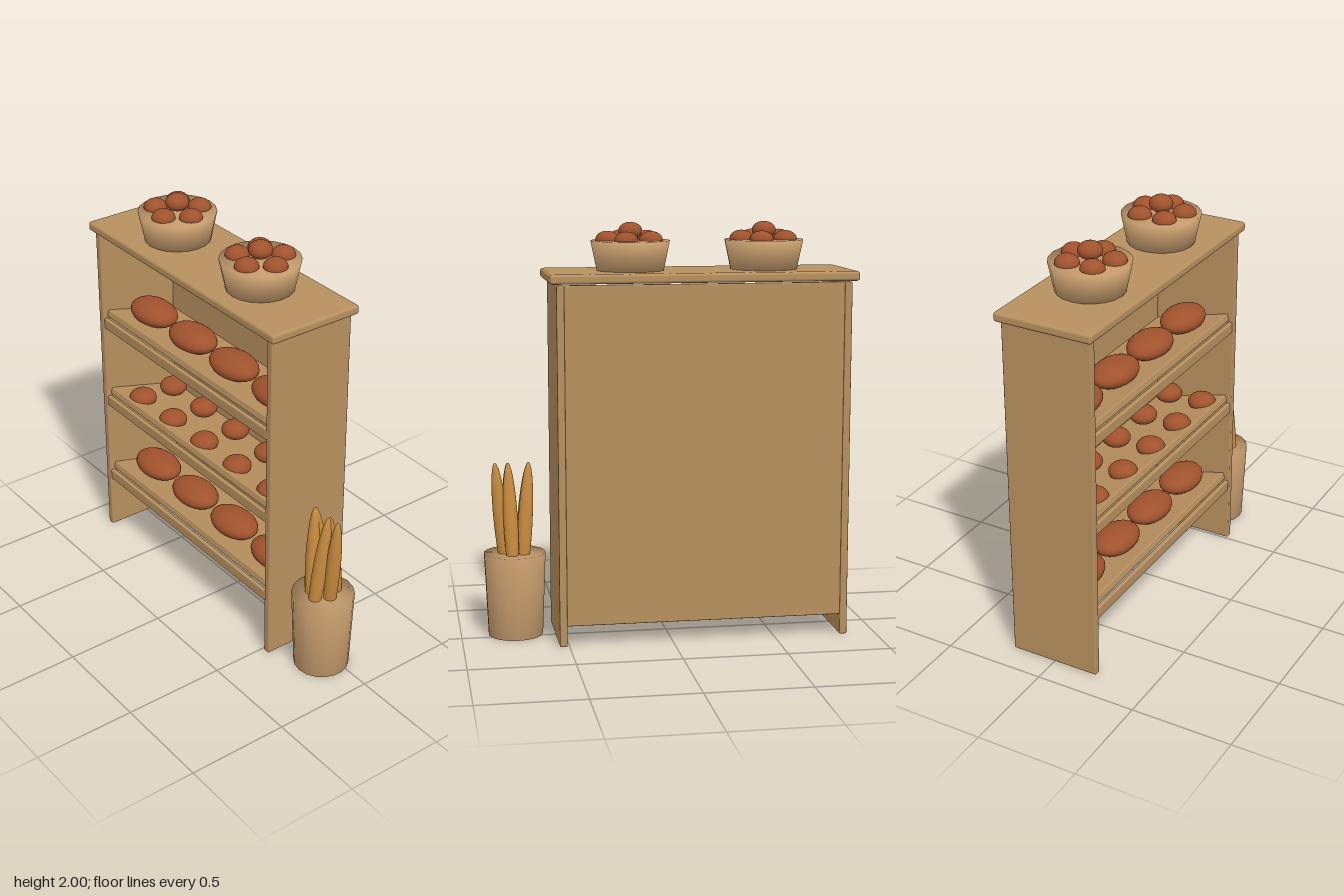
import * as THREE from 'three';
import { mergeVertices } from 'three/addons/utils/BufferGeometryUtils.js';
import { RoundedBoxGeometry } from 'three/addons/geometries/RoundedBoxGeometry.js';

const material = (name, color) => {
  const m = new THREE.MeshStandardMaterial({ color });
  m.name = name;
  return m;
};

export function createModel() {
  const wood = material('wood', 0xb8905f);
  const wicker = material('wicker', 0xc69c6d);
  const crust = material('crust', 0xa0522d);
  const golden = material('golden crust', 0xc68a3e);
  const model = new THREE.Group();
  model.name = 'breadRack';

  const add = (name, geometry, mat, x, y, z, parent = model) => {
    const mesh = new THREE.Mesh(geometry, mat);
    mesh.name = name;
    mesh.position.set(x, y, z);
    parent.add(mesh);
    return mesh;
  };
  const board = (name, w, h, d, x, y, z, r = 0.006) =>
    add(name, new RoundedBoxGeometry(w, h, d, 2, r), wood, x, y, z);
  const ball = (name, mat, rx, ry, rz, x, y, z, parent) =>
    add(name, new THREE.SphereGeometry(1, 20, 14).scale(rx, ry, rz), mat, x, y, z, parent);
  // Tapered tub whose normals blend over the rims
  const tub = (top, bottom, height, sides) => {
    const g = new THREE.CylinderGeometry(top, bottom, height, sides);
    g.deleteAttribute('uv');
    g.deleteAttribute('normal');
    const merged = mergeVertices(g, 1e-4);
    merged.computeVertexNormals();
    return merged;
  };

  // Cabinet
  const midX = -0.157;
  for (const s of [-1, 1]) board('sidePanel', 0.036, 1.72, 0.45, midX + s * 0.685, 0.86, 0);
  board('backPanel', 1.335, 1.62, 0.025, midX, 0.91, -0.212);
  board('topBoard', 1.47, 0.046, 0.49, midX, 1.748, 0, 0.014);

  // Tilted shelves, each with a front lip just below its raised edge
  const shelves = [0.32, 0.775, 1.227];
  for (const y of shelves) {
    board('shelf', 1.335, 0.037, 0.41, midX, y, 0).rotation.x = -0.262;
    board('shelfLip', 1.335, 0.056, 0.022, midX, y, 0.21);
  }

  // Long loaves on the lowest and highest shelves
  for (const y of [shelves[0], shelves[2]])
    for (let i = 0; i < 4; i++)
      ball('loaf', crust, 0.15, 0.06, 0.1, -0.655 + i * 0.333, y + 0.077, 0.03);

  // Two rows of rolls on the middle shelf
  for (const z of [-0.08, 0.11])
    for (let i = 0; i < 5; i++)
      ball('roll', crust, 0.07, 0.046, 0.07, -0.66 + i * 0.267, 0.834, z);

  // Baskets of buns on top
  for (const x of [-0.477, 0.17]) {
    const basket = new THREE.Group();
    basket.name = 'bunBasket';
    basket.position.x = x;
    model.add(basket);
    add('basket', tub(0.19, 0.16, 0.145, 20), wicker, 0, 1.84, 0, basket);
    for (let i = 0; i < 5; i++) {
      const a = (i / 5) * Math.PI * 2;
      ball('bun', crust, 0.057, 0.042, 0.057, 0.11 * Math.cos(a), 1.916, 0.11 * Math.sin(a), basket);
    }
    ball('topBun', crust, 0.057, 0.042, 0.057, 0, 1.957, 0, basket);
  }

  // Bin of baguettes beside the cabinet
  const bin = new THREE.Group();
  bin.name = 'baguetteBin';
  bin.position.set(0.735, 0, 0.05);
  model.add(bin);
  add('bin', tub(0.15, 0.133, 0.408, 18), wicker, 0, 0.204, 0, bin);
  const up = new THREE.Vector3(0, 1, 0);
  for (let i = 0; i < 5; i++) {
    const a = (i / 5) * Math.PI * 2, c = Math.cos(a), s = Math.sin(a);
    const stick = ball('baguette', golden, 0.035, 0.3, 0.035, 0.063 * c, 0.553, 0.045 * s, bin);
    stick.quaternion.setFromUnitVectors(up, new THREE.Vector3(0.09 * c, 1, -0.14 * s).normalize());
  }
  return model;
}
